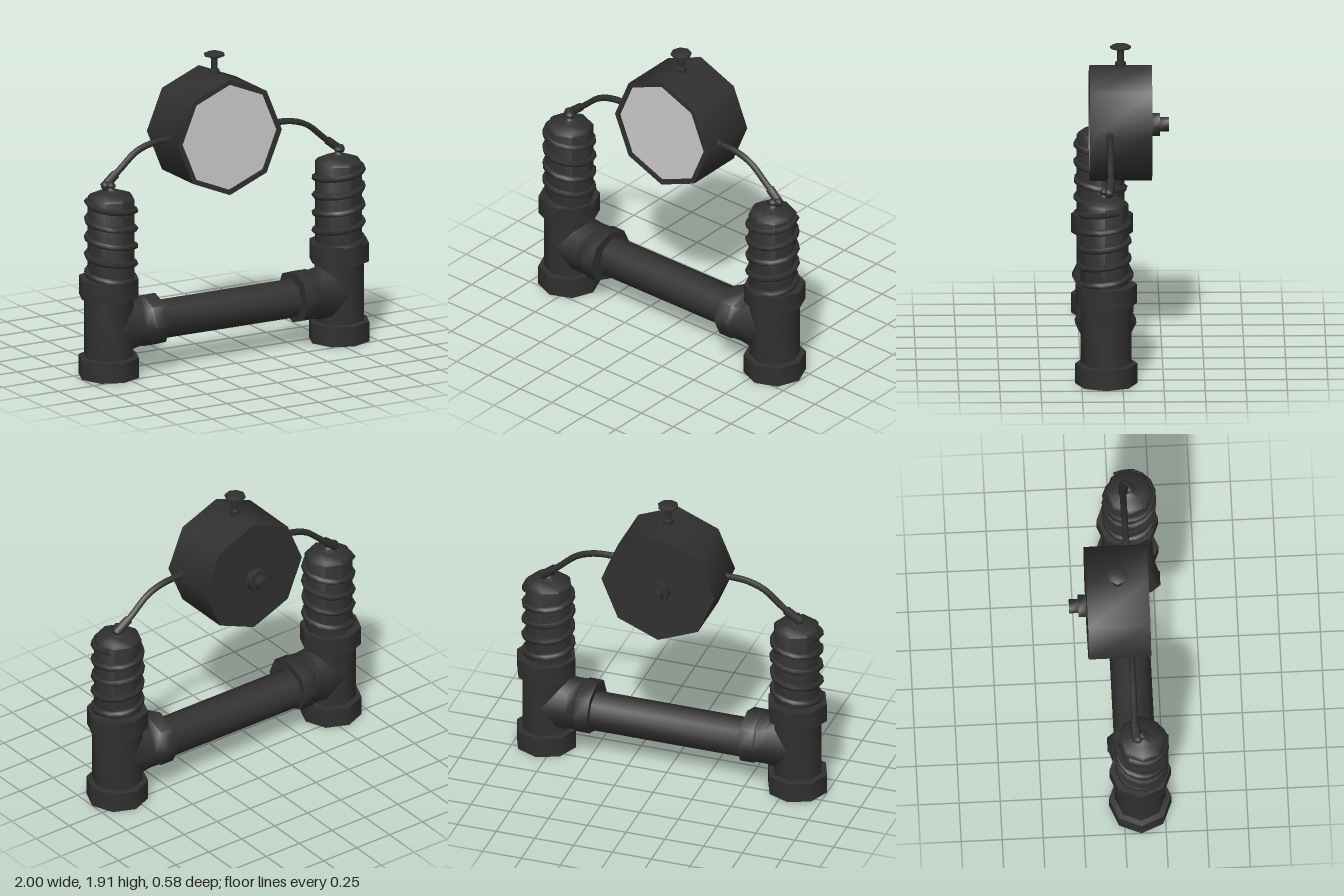
import * as THREE from 'three';
import { toCreasedNormals } from 'three/addons/utils/BufferGeometryUtils.js';

const dark = new THREE.MeshStandardMaterial({ color: 0x303030, side: THREE.DoubleSide });
const glass = new THREE.MeshStandardMaterial({ color: 0xcccccc });

// Smooth around the eight sides, sharp at right-angled edges
const crease = (geo) => toCreasedNormals(geo, 0.9);

function lathe(points, sides = 8) {
  return new THREE.LatheGeometry(points.map(([r, y]) => new THREE.Vector2(r, y)), sides);
}

function add(parent, name, geo, x = 0, y = 0, z = 0, mat = dark) {
  const mesh = new THREE.Mesh(geo, mat);
  mesh.name = name;
  mesh.position.set(x, y, z);
  parent.add(mesh);
  return mesh;
}

// Sideways branch of the tee: narrow saddle at the column, wide collar at the pipe
function branchGeometry(s) {
  const geo = lathe([[0, 0], [0.15, 0], [0.152, 0.1], [0.16, 0.17], [0.178, 0.225],
    [0.187, 0.235], [0.187, 0.325], [0, 0.325]]);
  const p = geo.attributes.position;
  for (let i = 0; i < p.count; i++) {
    const t = THREE.MathUtils.smoothstep(p.getY(i), 0.1, 0.23);
    p.setX(i, p.getX(i) * THREE.MathUtils.lerp(1.23, 0.87, t));
  }
  geo.rotateZ(s * Math.PI / 2);
  return crease(geo);
}

// Coil wound around the grip, mirrored by the sign s
function coilGeometry(s) {
  const turns = 4.5, end = THREE.MathUtils.degToRad(125), pts = [];
  const n = turns * 8;
  for (let i = 0; i <= n; i++) {
    const a = end - (n - i) * Math.PI / 4;
    pts.push(new THREE.Vector3(s * Math.sin(a) * 0.147, 0.605 + 0.5 * i / n, Math.cos(a) * 0.147));
  }
  return new THREE.TubeGeometry(new THREE.CatmullRomCurve3(pts), n * 2, 0.021, 5);
}

function createSide(s) {
  const g = new THREE.Group();
  g.name = s > 0 ? 'leftSide' : 'rightSide';
  const x = s * 0.81, z = 0.1;

  // Tee fitting with a collar at each end and an open socket underneath
  add(g, 'teeColumn', crease(lathe([[0, 0.1], [0.115, 0.1], [0.115, 0], [0.19, 0], [0.19, 0.125],
    [0.155, 0.13], [0.155, 0.5], [0.188, 0.505], [0.188, 0.625], [0, 0.625]])), x, 0, z);
  add(g, 'teeBranch', branchGeometry(s), x, 0.315, z);

  // Ribbed grip with domed cap
  add(g, 'grip', crease(lathe([[0, 0.6], [0.147, 0.6], [0.147, 1.125], [0.13, 1.145], [0.075, 1.165],
    [0.03, 1.175], [0.022, 1.19], [0.03, 1.205], [0.02, 1.22], [0, 1.225]])), s * 0.8, 0, 0.11);
  add(g, 'coil', coilGeometry(s), s * 0.8, 0, 0.11);

  // Cable from grip to drum
  const P = (px, py, pz = 0.07) => new THREE.Vector3(s * px, py, pz);
  const cable = new THREE.CatmullRomCurve3([P(0.82, 1.2), P(0.72, 1.28), P(0.6, 1.38),
    P(0.48, 1.42), P(0.34, 1.425)]);
  add(g, 'cable', new THREE.TubeGeometry(cable, 14, 0.02, 6));
  const sleeve = new THREE.LineCurve3(P(0.835, 1.19, 0.08), P(0.745, 1.26));
  add(g, 'cableSleeve', new THREE.TubeGeometry(sleeve, 1, 0.028, 6));
  add(g, 'cableJoint', new THREE.SphereGeometry(0.03, 8, 6), s * 0.825, 1.2, 0.085);
  const ferrule = new THREE.CylinderGeometry(0.025, 0.025, 0.05, 8).rotateZ(Math.PI / 2);
  add(g, 'cableFerrule', crease(ferrule), s * 0.345, 1.425, 0.07);
  return g;
}

export function createModel() {
  const model = new THREE.Group();
  model.name = 'pipeGauge';
  model.add(createSide(1), createSide(-1));

  // Cross pipe
  const pipe = new THREE.CylinderGeometry(0.125, 0.125, 1.0, 8).rotateZ(Math.PI / 2);
  add(model, 'crossPipe', crease(pipe), 0, 0.3, 0.08);

  // Eight-sided drum with a raised rim around the glass
  const drum = new THREE.Group();
  drum.name = 'drum';
  drum.position.set(-0.01, 1.415, 0);
  model.add(drum);
  const shell = lathe([[0, -0.19], [0.365, -0.19], [0.365, 0.19], [0.333, 0.19], [0.333, 0.17], [0, 0.17]]);
  add(drum, 'drumShell', crease(shell.rotateX(Math.PI / 2)));
  add(drum, 'drumGlass', new THREE.CircleGeometry(0.333, 8), 0, 0, 0.178, glass);

  // Rear port
  const port = lathe([[0, 0], [0.073, 0], [0.073, 0.05], [0.046, 0.05], [0.046, 0.105], [0, 0.105]]);
  add(drum, 'rearPort', crease(port.rotateX(-Math.PI / 2)), -0.01, -0.013, -0.19);

  // Push knob on top
  add(drum, 'topKnob', crease(lathe([[0, -0.03], [0.033, -0.03], [0.033, 0.025], [0.021, 0.03], [0.021, 0.095],
    [0.035, 0.105], [0.064, 0.113], [0.064, 0.125], [0.04, 0.135], [0, 0.135]])), 0, 0.36, 0);
  return model;
}
